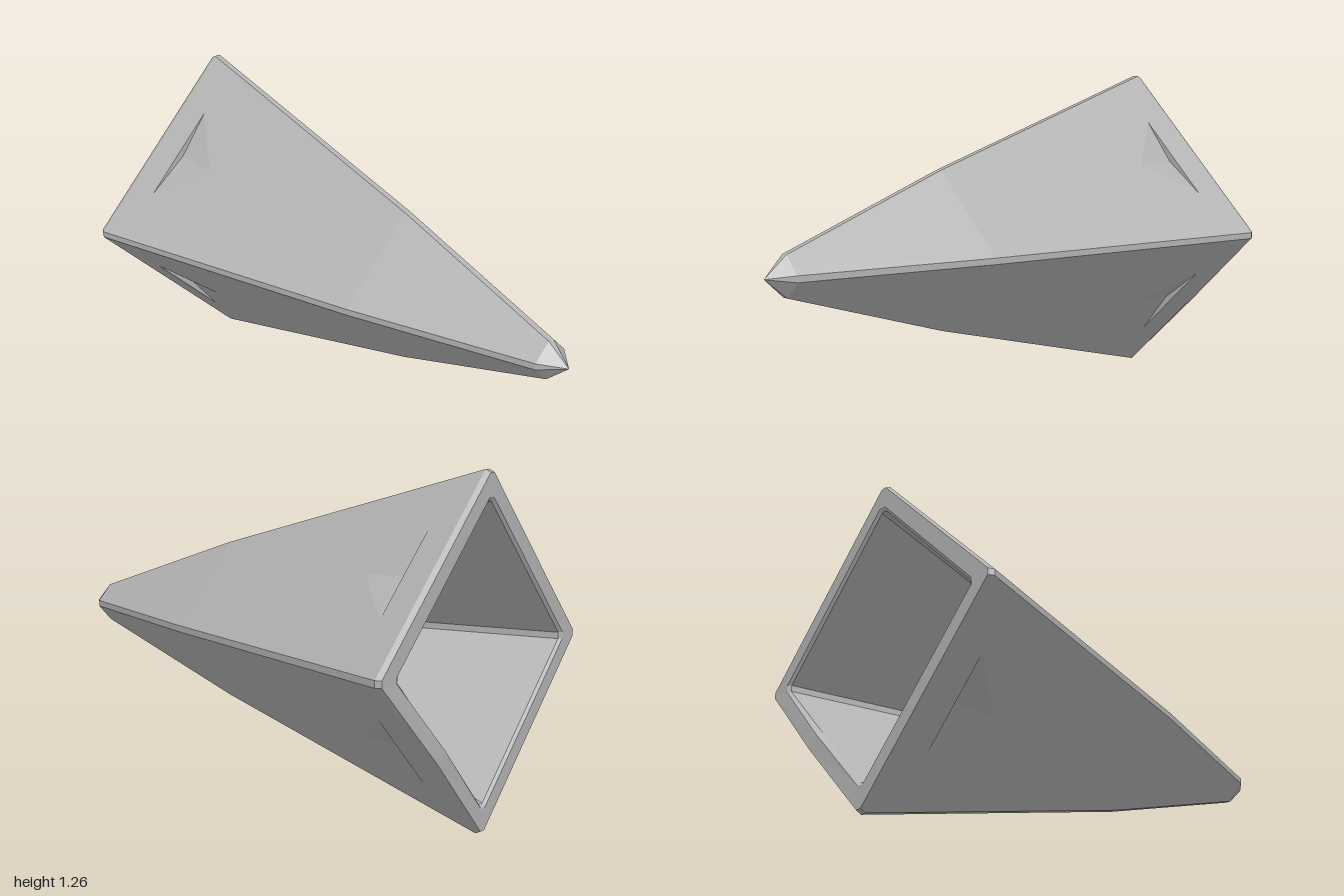
import * as THREE from 'three';

const MID = 0.6325;   // height of the long axis
const BEVEL = 0.012;  // half width of the blunted corner edges
const X_SCALE = 0.98;

// Turns a point of the first quadrant into side k and lifts it to the axis height
function place(x, y, z, k) {
  for (let i = 0; i < k; i++) [x, y] = [-y, x];
  return new THREE.Vector3(x * X_SCALE, y + MID, z);
}

// Diamond cross-section: start, middle and end of each of the four sides
function ring(r, z, bulge = 0) {
  const e = Math.min(BEVEL, r * 0.3), m = (r + e) / 2, points = [];
  for (let k = 0; k < 4; k++) {
    points.push(place(r, e, z, k));
    points.push(place(m, m, k === 3 ? z - bulge : z, k));
    points.push(place(e, r, z, k));
  }
  return points;
}

// Skin between successive rings; optionally only the narrow corner bevels
function loft(rings, bevelsOnly = false) {
  const tris = [];
  for (let j = 0; j + 1 < rings.length; j++) {
    const a = rings[j], b = rings[j + 1];
    for (let i = 0; i < 12; i++) {
      if (bevelsOnly && i % 3 !== 2) continue;
      const n = (i + 1) % 12;
      tris.push(a[i], a[n], b[n], a[i], b[n], b[i]);
    }
  }
  return flatGeometry(tris);
}

function flatGeometry(points) {
  const g = new THREE.BufferGeometry().setFromPoints(points);
  g.computeVertexNormals();
  return g;
}

export function createModel() {
  const model = new THREE.Group();
  model.name = 'hollowSpike';
  const grey = new THREE.MeshStandardMaterial({ color: 0xb2b2b2 });
  grey.name = 'plain grey';
  const add = (geometry, name) => {
    const mesh = new THREE.Mesh(geometry, grey);
    mesh.name = name;
    model.add(mesh);
  };

  const back = { r: 0.6325, z: -0.965 }, front = { r: 0.31, z: 0.2 };

  // Tapered socket, flat rim and rounded rear edge
  add(loft([
    ring(0.002, 0.84), ring(0.05, 0.8), ring(0.525, -0.975),
    ring(0.54, -0.985, 0.015), ring(0.622, -0.985, 0.015), ring(back.r, back.z),
  ]), 'socketAndRim');

  // Forward half and blunt point
  add(loft([ring(front.r, front.z), ring(0.076, 0.915), ring(0.001, 1)]), 'point');

  // Corner edges of the rear half
  add(loft([ring(back.r, back.z), ring(front.r, front.z)], true), 'cornerEdges');

  // Flat rear panels, each with a shallow triangular notch
  const radius = z => back.r + (front.r - back.r) * (z - back.z) / (front.z - back.z);
  const onPanel = (u, z, k, depth = 0) => {
    const s = (radius(z) + BEVEL) / 2 - depth;
    return place(s - u, s + u, z, k);
  };
  const wBack = (back.r - BEVEL) / 2, wFront = (front.r - BEVEL) / 2;
  const v = (x, y) => new THREE.Vector2(x, y);
  const outline = new THREE.Shape([
    v(-wBack, back.z), v(wBack, back.z), v(wFront, front.z), v(-wFront, front.z),
  ]);
  outline.holes.push(new THREE.Path([v(-0.14, -0.85), v(0, -0.67), v(0.14, -0.85)]));

  for (let k = 0; k < 4; k++) {
    const flat = new THREE.ShapeGeometry(outline).toNonIndexed();
    const pos = flat.attributes.position, panel = [];
    for (let i = 0; i < pos.count; i++) panel.push(onPanel(pos.getX(i), pos.getY(i), k));
    add(flatGeometry(panel), 'sidePanel' + (k + 1));

    const a = onPanel(-0.14, -0.85, k), b = onPanel(0.14, -0.85, k);
    const tip = onPanel(0, -0.67, k), deep = onPanel(0, -0.85, k, 0.018);
    add(flatGeometry([a, b, deep, a, deep, tip, deep, b, tip]), 'notch' + (k + 1));
  }
  return model;
}
